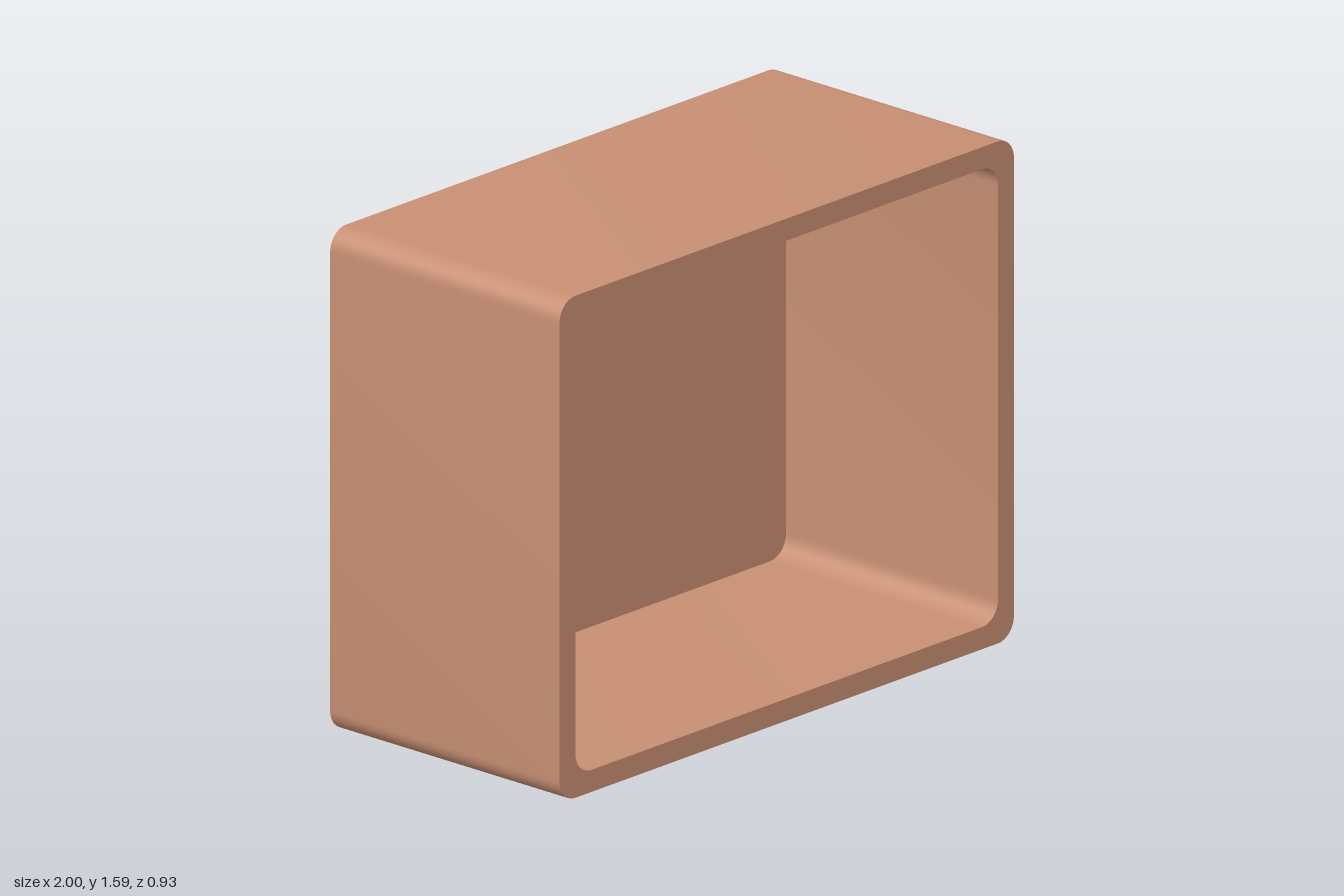
import * as THREE from 'three';
import { toCreasedNormals } from 'three/addons/utils/BufferGeometryUtils.js';

const WIDTH = 2, HEIGHT = 1.59, DEPTH = 0.93, WALL = 0.07, RADIUS = 0.07, STEPS = 10;

// Counter-clockwise rounded rectangle at depth z, inset from the outer outline
function outline(inset, z) {
  const x = WIDTH / 2 - inset - RADIUS, y = HEIGHT / 2 - inset - RADIUS;
  const points = [];
  [[x, y], [-x, y], [-x, -y], [x, -y]].forEach(([cx, cy], corner) => {
    for (let i = 0; i <= STEPS; i++) {
      const a = (corner + i / STEPS) * Math.PI / 2;
      points.push([cx + RADIUS * Math.cos(a), HEIGHT / 2 + cy + RADIUS * Math.sin(a), z]);
    }
  });
  return points;
}

// Skin between successive loops, closed with a flat cap at each end
function skin(loops) {
  const positions = [];
  const triangle = (a, b, c) => positions.push(...a, ...b, ...c);
  const first = loops[0], last = loops[loops.length - 1];
  const n = first.length;
  for (let i = 0; i < n; i++) {
    const j = (i + 1) % n;
    for (let k = 0; k < loops.length - 1; k++) {
      const a = loops[k], b = loops[k + 1];
      triangle(a[i], a[j], b[j]);
      triangle(a[i], b[j], b[i]);
    }
    triangle([0, HEIGHT / 2, first[0][2]], first[j], first[i]);
    triangle([0, HEIGHT / 2, last[0][2]], last[i], last[j]);
  }
  const geometry = new THREE.BufferGeometry();
  geometry.setAttribute('position', new THREE.Float32BufferAttribute(positions, 3));
  return toCreasedNormals(geometry, Math.PI / 5);
}

export function createModel() {
  const model = new THREE.Group();
  model.name = 'openBox';

  // Outer walls, front rim, inner walls and the recessed back panel
  const front = DEPTH / 2, back = -DEPTH / 2;
  const shell = new THREE.Mesh(
    skin([outline(0, back), outline(0, front), outline(WALL, front), outline(WALL, back + WALL)]),
    new THREE.MeshStandardMaterial({ color: 0xc68e72 })
  );
  shell.name = 'boxShell';
  model.add(shell);
  return model;
}
